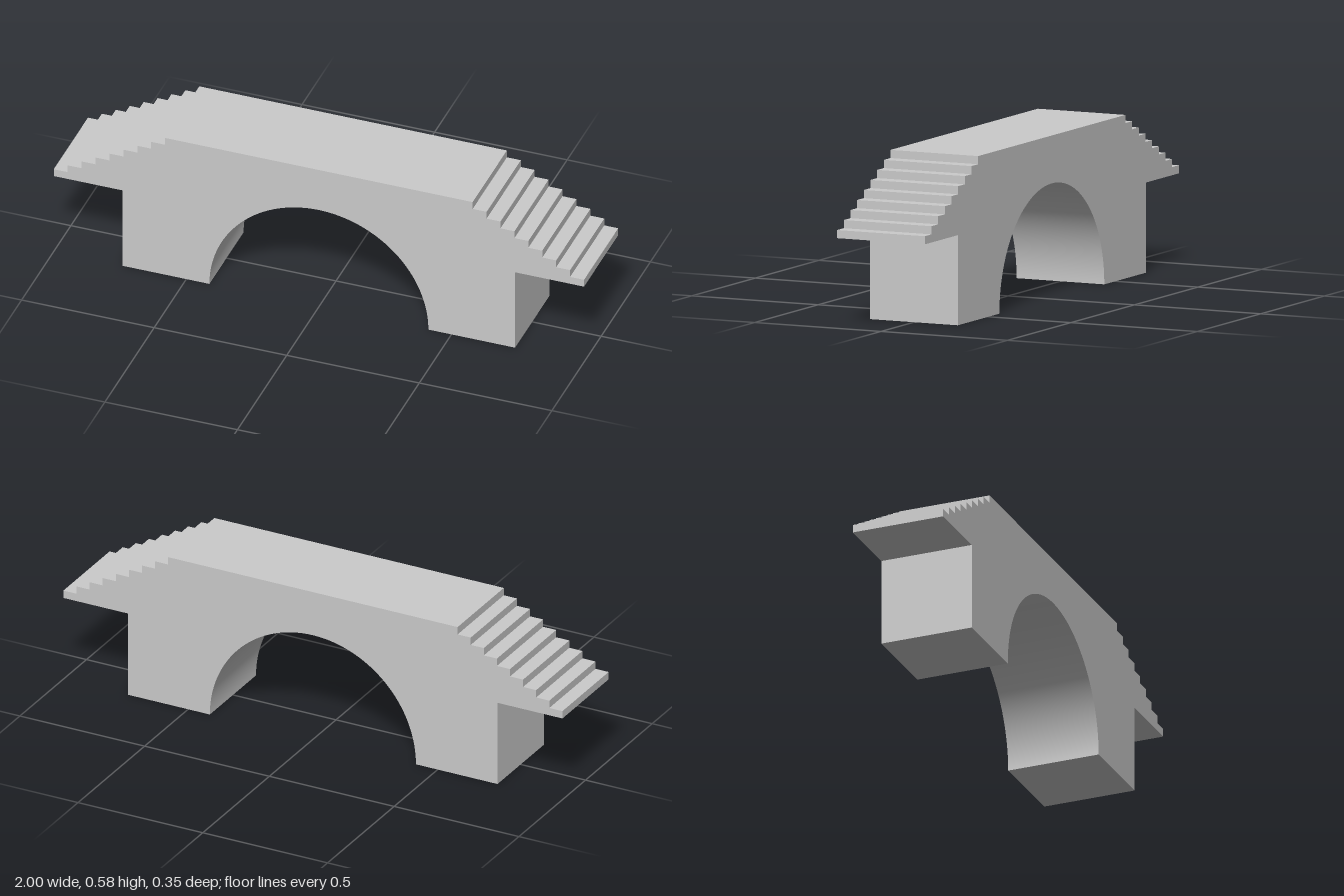
import * as THREE from 'three';
import { toCreasedNormals } from 'three/addons/utils/BufferGeometryUtils.js';

const DEPTH = 0.347;
const TOP = 0.584;          // deck height
const LEDGE = 0.322;        // underside of the stair overhang
const PIER_X = 0.74;        // outer face of the piers
const DECK_X = 0.58;        // half length of the flat deck
const ARCH_R = 0.413;
const STEPS = 8;

// Stair outline on the +x side, from the bottom outer corner up to the deck
function stairPoints() {
  const run = (1 - DECK_X) / STEPS;
  const rise = (TOP - LEDGE) / (STEPS + 1);
  const pts = [[1, LEDGE]];
  for (let i = 0; i <= STEPS; i++) {
    const x = 1 - i * run;
    const y = LEDGE + (i + 1) * rise;
    pts.push([x, y]);
    if (i < STEPS) pts.push([x - run, y]);
  }
  return pts;
}

export function createModel() {
  const group = new THREE.Group();
  group.name = 'steppedArchBridge';

  // Side outline: piers, overhangs and both stairs, mirrored about x = 0
  const half = [[ARCH_R, 0], [PIER_X, 0], [PIER_X, LEDGE], ...stairPoints()];
  const mirrored = half.map(([x, y]) => [-x, y]).reverse();
  const outline = new THREE.Shape();
  [...half, ...mirrored].forEach(([x, y], i) => (i ? outline.lineTo(x, y) : outline.moveTo(x, y)));

  // Semicircular arch opening closes the outline
  outline.absarc(0, 0, ARCH_R, Math.PI, 0, true);

  const extruded = new THREE.ExtrudeGeometry(outline, {
    depth: DEPTH, bevelEnabled: false, curveSegments: 48,
  });
  extruded.translate(0, 0, -DEPTH / 2);

  const bridge = new THREE.Mesh(
    toCreasedNormals(extruded, Math.PI / 6),
    new THREE.MeshStandardMaterial({ color: 0xcccccc })
  );
  bridge.name = 'bridgeBody';
  group.add(bridge);
  return group;
}
